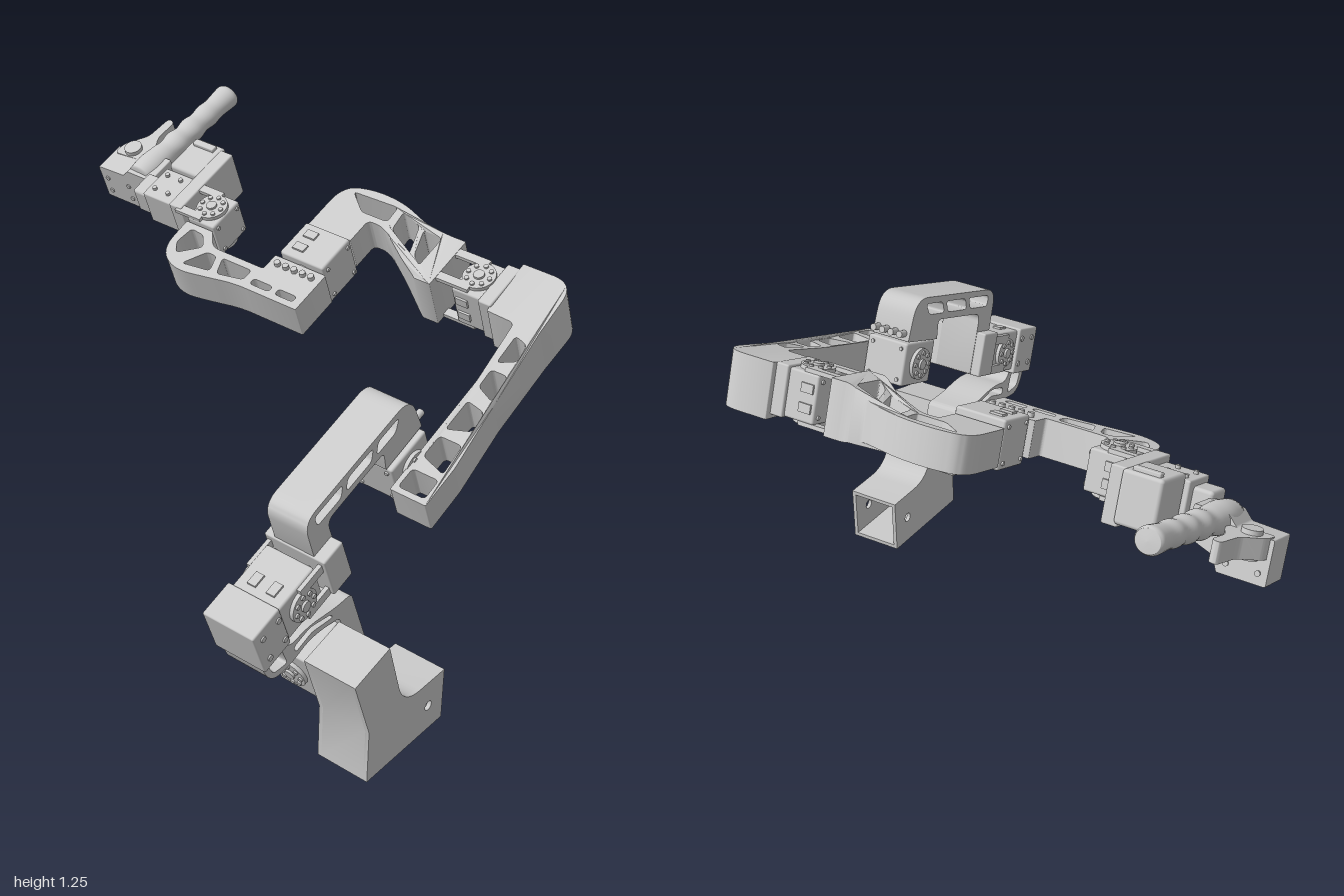
import * as THREE from 'three';
import { toCreasedNormals } from 'three/addons/utils/BufferGeometryUtils.js';
import { RoundedBoxGeometry } from 'three/addons/geometries/RoundedBoxGeometry.js';

const grey = new THREE.MeshStandardMaterial({ color: 0xcccccc, side: THREE.DoubleSide });

function add(parent, name, geo, x = 0, y = 0, z = 0) {
  const m = new THREE.Mesh(geo, grey);
  m.name = name;
  m.position.set(x, y, z);
  parent.add(m);
  return m;
}

// Box given by its limits on each axis
function box(parent, name, [x0, x1], [y0, y1], [z0, z1], r = 0) {
  const s = [x1 - x0, y1 - y0, z1 - z0];
  const g = r ? new RoundedBoxGeometry(...s, 2, r) : new THREE.BoxGeometry(...s);
  return add(parent, name, g, (x0 + x1) / 2, (y0 + y1) / 2, (z0 + z1) / 2);
}

// Closed outline with rounded corners; each point is [x, y, trim]
function outline(path, pts, r) {
  const v = pts.map(p => new THREE.Vector2(p[0], p[1]));
  const n = v.length;
  v.forEach((p, i) => {
    const a = v[(i + n - 1) % n], b = v[(i + 1) % n];
    const t = pts[i][2] ?? r;
    const near = q => p.clone().lerp(q, Math.min(0.5, t / p.distanceTo(q)));
    const s = near(a), e = near(b);
    if (i === 0) path.moveTo(s.x, s.y); else path.lineTo(s.x, s.y);
    if (t > 0) path.quadraticCurveTo(p.x, p.y, e.x, e.y);
  });
  path.closePath();
  return path;
}

function slab(pts, holes, depth, r, holeR = 0.015) {
  const s = outline(new THREE.Shape(), pts, r);
  for (const h of holes) s.holes.push(h.isPath || h.curves ? h : outline(new THREE.Path(), h, holeR));
  return new THREE.ExtrudeGeometry(s, { depth, bevelEnabled: false, curveSegments: 10 });
}

// Profile in (z, y), swept from x0 to x1
function sideSlab(parent, name, pts, holes, x0, x1, r = 0) {
  const g = slab(pts, holes, x1 - x0, r).rotateY(-Math.PI / 2).translate(x1, 0, 0);
  return add(parent, name, toCreasedNormals(g, 0.5));
}

// Profile in (x, z), swept from y0 to y1; grow(x, z) widens the height locally
function planSlab(parent, name, pts, holes, y0, y1, r = 0, grow = null) {
  const flip = list => list.map(([x, z, t]) => [x, -z, t]);
  const g = slab(flip(pts), holes.map(flip), y1 - y0, r).rotateX(-Math.PI / 2).translate(0, y0, 0);
  if (grow) {
    const p = g.attributes.position, mid = (y0 + y1) / 2;
    for (let i = 0; i < p.count; i++)
      p.setY(i, mid + (p.getY(i) - mid) * grow(p.getX(i), p.getZ(i)));
  }
  return add(parent, name, toCreasedNormals(g, 0.5));
}

// Joint motor: case, horns with bolt circles, cable plugs, optional yoke arms
function motor(parent, name, pos, [w, h, d], axis, yoke = 0) {
  const g = new THREE.Group();
  g.name = name;
  g.position.set(...pos);
  if (axis === 'x') g.rotation.y = Math.PI / 2;
  if (axis === 'y') g.rotation.x = -Math.PI / 2;
  parent.add(g);
  add(g, 'motorCase', new RoundedBoxGeometry(w, h, d, 2, 0.008));
  for (const s of [-1, 1]) {
    const z = s * (d / 2 + 0.006);
    add(g, 'horn', new THREE.CylinderGeometry(0.055, 0.055, 0.014, 32).rotateX(Math.PI / 2), 0, 0, z);
    add(g, 'hub', new THREE.CylinderGeometry(0.018, 0.018, 0.03, 20).rotateX(Math.PI / 2), 0, 0, z);
    for (let i = 0; i < 8; i++) {
      const a = i * Math.PI / 4;
      add(g, 'hornBolt', new THREE.CylinderGeometry(0.008, 0.008, 0.026, 10).rotateX(Math.PI / 2),
        0.04 * Math.cos(a), 0.04 * Math.sin(a), z);
    }
    for (const c of [-1, 1])
      add(g, 'caseBolt', new THREE.CylinderGeometry(0.007, 0.007, w + 0.012, 10).rotateZ(Math.PI / 2),
        0, c * h * 0.36, s * d * 0.36);
    add(g, 'cablePlug', new THREE.BoxGeometry(0.045, h + 0.014, 0.03), -w * 0.2, 0, s * d * 0.2);
    if (yoke) for (const c of [-1, 1])
      add(g, 'yokeArm', new THREE.BoxGeometry(Math.abs(yoke), 0.03, 0.014), yoke / 2, c * 0.055, z);
  }
  return g;
}

export function createModel() {
  const root = new THREE.Group();
  root.name = 'robotArm';

  // Base: hollow foot, open at the rear, with a leaning column
  const base = new THREE.Group();
  base.name = 'base';
  root.add(base);
  const foot = [[0.57, 0], [0.57, 0.2], [0.65, 0.43], [0.485, 0.475], [0.4, 0.195, 0.09], [0.185, 0.195], [0.185, 0]];
  const cavity = [[0.185, 0.014], [0.46, 0.014], [0.46, 0.181], [0.185, 0.181]];
  const core = [[0.57, 0], [0.57, 0.2], [0.65, 0.43], [0.485, 0.475], [0.4, 0.195, 0.09],
    [0.185, 0.195], ...cavity.reverse(), [0.185, 0]];
  const bore = () => new THREE.Path().absarc(0.262, 0.097, 0.017, 0, Math.PI * 2);
  sideSlab(base, 'baseCore', core, [], 0.82, 0.981);
  for (const [x0, x1] of [[0.806, 0.82], [0.981, 0.995]])
    sideSlab(base, 'baseSideWall', foot, [bore()], x0, x1);

  // Everything above the base lies in one plane leaning 20 degrees
  const arm = new THREE.Group();
  arm.name = 'arm';
  arm.rotation.x = THREE.MathUtils.degToRad(20);
  root.add(arm);

  // Shoulder motor and first link
  motor(arm, 'shoulderMotor', [0.728, 0.505, 0.375], [0.15, 0.2, 0.165], 'z');
  sideSlab(arm, 'shoulderLink', [
    [0.203, 0.39], [0.28, 0.39], [0.275, 0.597, 0.02], [0.4, 0.655, 0.07], [0.5, 0.645, 0.05], [0.595, 0.67, 0.07],
    [0.604, 0.8], [0.5, 0.8], [0.49, 0.715, 0.04], [0.4, 0.71, 0.06], [0.275, 0.652, 0.04], [0.203, 0.632, 0.02]],
  [[[0.51, 0.668], [0.57, 0.69], [0.58, 0.745], [0.515, 0.745]],
    [[0.3, 0.63], [0.39, 0.67], [0.47, 0.668], [0.47, 0.695], [0.39, 0.695], [0.3, 0.647]]], 0.642, 0.79, 0.005);

  // Swivel head and its motor
  box(arm, 'swivelHead', [0.615, 0.805], [0.752, 0.922], [0.482, 0.606], 0.006);
  for (const y of [0.79, 0.885]) for (const x of [0.65, 0.77])
    add(arm, 'headBolt', new THREE.CylinderGeometry(0.01, 0.01, 0.2, 12).rotateZ(Math.PI / 2), 0.71, y, x * 0.6 + 0.11);
  motor(arm, 'swivelMotor', [0.715, 0.84, 0.4], [0.17, 0.15, 0.175], 'x', 0.13);

  // Upper arm link: post, slotted beam and rear post
  box(arm, 'upperLinkFlange', [0.605, 0.83], [0.772, 0.93], [0.207, 0.297], 0.006);
  sideSlab(arm, 'upperLink', [
    [0.205, 0.775], [0.295, 0.775], [0.288, 1.083, 0.06], [-0.235, 1.085, 0.07], [-0.25, 0.935], [-0.065, 0.93],
    [-0.075, 1, 0.02], [0.205, 0.998, 0.035]],
  [[[0.245, 1.022], [0.245, 1.062], [0.11, 1.062], [0.13, 1.022]],
    [[0.105, 1.022], [0.085, 1.062], [-0.04, 1.062], [-0.02, 1.022]],
    [[-0.045, 1.022], [-0.065, 1.062], [-0.17, 1.062], [-0.14, 1.022]]], 0.642, 0.788, 0.004);
  motor(arm, 'elbowMotor', [0.725, 0.852, -0.158], [0.175, 0.15, 0.16], 'x');
  for (let i = 0; i < 4; i++)
    add(arm, 'rearBolt', new THREE.CylinderGeometry(0.012, 0.012, 0.05, 12).rotateX(Math.PI / 2), 0.665 + i * 0.035, 0.96, -0.255);

  // Forearm link: tapering truss ending in a corner block
  const inner = z => 0.815 + 0.01 * Math.min(0, z + 0.4);
  const outer = z => 0.945 + 0.085 * Math.min(0, z + 0.1);
  const panes = [[-0.055, -0.13], [-0.155, -0.27], [-0.3, -0.42], [-0.45, -0.55], [-0.58, -0.69]].map(([a, b], i) => {
    const k = i % 2 ? 0.03 : -0.03, s = i ? k : 0;
    return [[inner(a) + 0.016, a - Math.max(0, s)], [outer(a) - 0.018, a + Math.min(0, s)],
      [outer(b) - 0.018, b + Math.max(0, -s) * 0.5], [inner(b) + 0.016, b]];
  });
  planSlab(arm, 'forearmLink', [
    [0.815, -0.035], [0.944, -0.035], [0.941, -0.19], [0.912, -0.44], [0.888, -0.73], [0.88, -0.945, 0.08],
    [0.69, -0.945], [0.69, -0.735], [0.795, -0.73, 0.02], [0.812, -0.5]],
  panes, 0.776, 0.89, 0.006, (x, z) => 1 + 0.62 * THREE.MathUtils.smoothstep(-z, 0.3, 0.95));

  // Forearm roll motor, yoked to the crook link
  motor(arm, 'forearmMotor', [0.595, 0.838, -0.838], [0.12, 0.15, 0.16], 'y', -0.13);
  box(arm, 'forearmMotorMount', [0.645, 0.695], [0.755, 0.925], [-0.925, -0.75], 0.006);

  // Crook link
  planSlab(arm, 'crookLink', [
    [0.475, -0.94], [0.475, -0.735], [0.415, -0.735], [0.385, -0.755, 0.02], [0.29, -0.82, 0.06], [0.17, -0.9, 0.06],
    [0.105, -0.9, 0.02], [0.105, -0.8], [-0.07, -0.8], [-0.07, -1.0, 0.08], [0.05, -1.028, 0.05],
    [0.17, -1.02, 0.06], [0.3, -0.97, 0.06], [0.385, -0.945, 0.02], [0.415, -0.94]],
  [[[0.3, -0.945], [0.395, -0.92], [0.395, -0.79], [0.345, -0.83]],
    [[0.19, -0.985], [0.275, -0.955], [0.32, -0.835], [0.2, -0.905]],
    [[-0.02, -0.99], [0.16, -0.995], [0.165, -0.925], [0.06, -0.925]]],
  0.778, 0.9, 0.004, x => 1 + 0.53 * THREE.MathUtils.smoothstep(x, 0.28, 0.42));

  // Wrist pitch motor and wrist link
  motor(arm, 'wristMotor', [0.025, 0.842, -0.715], [0.18, 0.16, 0.15], 'z');
  planSlab(arm, 'wristLink', [
    [0.13, -0.632], [0.13, -0.467], [-0.13, -0.467, 0.05], [-0.24, -0.445, 0.05], [-0.36, -0.425, 0.06],
    [-0.455, -0.48, 0.08], [-0.46, -0.622], [-0.345, -0.622], [-0.3, -0.565, 0.03], [-0.08, -0.565, 0.01], [-0.08, -0.632]],
  [[[-0.235, -0.54], [-0.11, -0.54], [-0.11, -0.495], [-0.21, -0.475]],
    [[-0.42, -0.6], [-0.365, -0.595], [-0.33, -0.55], [-0.4, -0.49], [-0.43, -0.53]],
    [[-0.3, -0.538], [-0.26, -0.538], [-0.24, -0.475], [-0.35, -0.46]],
    [[-0.08, -0.515], [0, -0.515], [0, -0.49], [-0.08, -0.49]],
    [[0.025, -0.515], [0.1, -0.515], [0.1, -0.49], [0.025, -0.49]]],
  0.783, 0.905, 0.006);
  for (let i = 0; i < 5; i++)
    add(arm, 'wristLinkBolt', new THREE.CylinderGeometry(0.011, 0.011, 0.03, 12), -0.045 + i * 0.035, 0.905, -0.6);

  // Hand roll motor, yoked to the hand bracket
  motor(arm, 'handMotor', [-0.405, 0.848, -0.7], [0.12, 0.14, 0.135], 'y', -0.11);
  box(arm, 'handPlate', [-0.55, -0.495], [0.752, 0.932], [-0.93, -0.64], 0.006);
  box(arm, 'handHousingRear', [-0.675, -0.54], [0.765, 0.932], [-0.945, -0.79], 0.012);
  box(arm, 'handHousingRim', [-0.655, -0.565], [0.92, 0.945], [-0.93, -0.905], 0.004);
  box(arm, 'handHousingFront', [-0.69, -0.54], [0.775, 0.91], [-0.79, -0.655], 0.006);
  for (const x of [-0.66, -0.6]) for (const z of [-0.76, -0.69])
    add(arm, 'housingBolt', new THREE.CylinderGeometry(0.008, 0.008, 0.15, 12), x, 0.845, z);
  box(arm, 'handAxle', [-0.755, -0.68], [0.79, 0.89], [-0.76, -0.665], 0.012);

  // Handle body with a stepped underside
  const body = new THREE.Group();
  body.name = 'handleBody';
  arm.add(body);
  const bodyGeo = slab([[-1, 0.695], [-0.845, 0.695], [-0.825, 0.74], [-0.74, 0.77], [-0.74, 0.87], [-0.85, 0.87], [-0.88, 0.84], [-1, 0.835]],
    [], 0.115, 0.005);
  add(body, 'handleBlock', bodyGeo, 0, 0, -0.855);
  for (const y of [0.73, 0.79]) for (const x of [-0.97, -0.87])
    add(body, 'blockBolt', new THREE.CylinderGeometry(0.009, 0.009, 0.125, 12).rotateX(Math.PI / 2), x, y, -0.798);

  // Trigger lever
  planSlab(arm, 'trigger', [
    [-0.915, -1.045], [-0.882, -1.035], [-0.888, -0.95], [-0.862, -0.9], [-0.845, -0.83], [-0.99, -0.82], [-0.985, -0.87], [-0.925, -0.94]],
  [], 0.775, 0.84, 0.02);
  add(arm, 'triggerPivot', new THREE.CylinderGeometry(0.032, 0.032, 0.09, 24), -0.93, 0.81, -0.86);

  // Grip with finger grooves
  const prof = [[0, 0], [0.05, 0], [0.056, 0.06], [0.05, 0.12], [0.044, 0.16], [0.05, 0.2], [0.042, 0.24], [0.048, 0.28],
    [0.041, 0.32], [0.046, 0.36], [0.042, 0.4], [0.046, 0.45], [0.047, 0.475], [0.04, 0.488], [0, 0.49]];
  const curve = new THREE.SplineCurve(prof.slice(1, 14).map(p => new THREE.Vector2(...p)));
  const grip = add(arm, 'grip', new THREE.LatheGeometry(
    [new THREE.Vector2(0, 0), ...curve.getPoints(48), new THREE.Vector2(0, 0.49)], 28).rotateX(-Math.PI / 2), -0.812, 0.842, -0.755);
  grip.rotation.y = -0.05;
  grip.scale.y = 0.9;
  return root;
}
